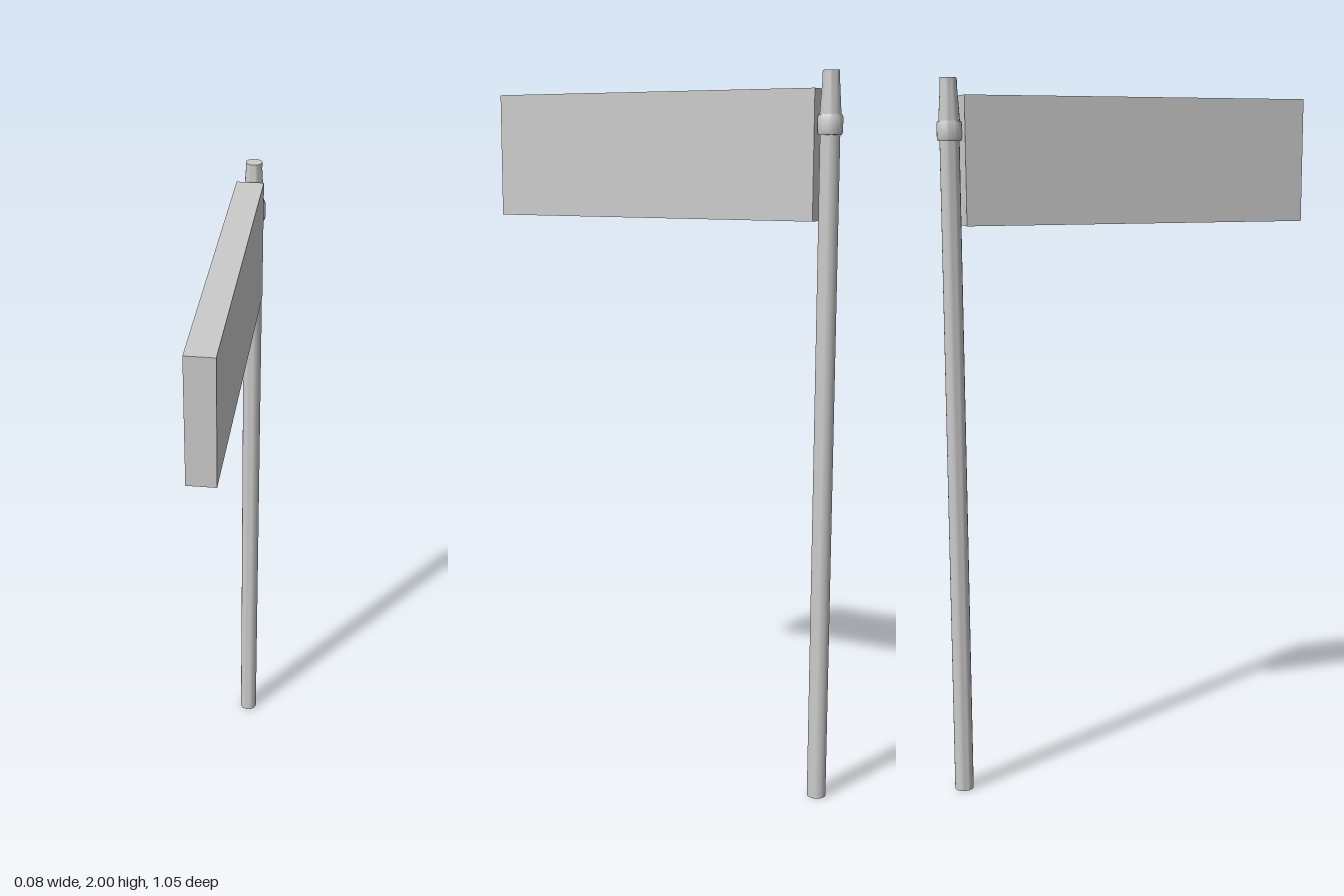
import * as THREE from 'three';
import { toCreasedNormals } from 'three/addons/utils/BufferGeometryUtils.js';

export function createModel() {
  const model = new THREE.Group();
  const material = new THREE.MeshStandardMaterial({ color: 0xcccccc });

  function addPart(name, geometry, x, y, z) {
    const mesh = new THREE.Mesh(geometry, material);
    mesh.name = name;
    mesh.position.set(x, y, z);
    model.add(mesh);
  }

  // Turned part from [radius, height] pairs, with crisp rims
  function turned(points) {
    const profile = points.map(([r, y]) => new THREE.Vector2(r, y));
    return toCreasedNormals(new THREE.LatheGeometry(profile, 24), 0.6);
  }

  const poleX = 0.004, poleZ = -0.492;

  // Straight round post
  addPart('pole', turned([[0, 0], [0.0265, 0], [0.0265, 1.85], [0, 1.85]]), poleX, 0, poleZ);

  // Collar around the post, slightly bevelled at both rims
  addPart('collar', turned([
    [0.0265, 1.836], [0.031, 1.836], [0.0335, 1.843],
    [0.0335, 1.881], [0.031, 1.888], [0.026, 1.888],
  ]), poleX, 0, poleZ);

  // Tapered cap with a short straight tip
  addPart('taperedCap', turned([
    [0, 1.85], [0.0285, 1.85], [0.0285, 1.888], [0.0225, 1.98], [0.0225, 2], [0, 2],
  ]), poleX, 0, poleZ);

  // Sign panel reaching forward from the post
  addPart('signPanel', new THREE.BoxGeometry(0.075, 0.342, 0.985), -0.0025, 1.784, 0.0325);

  return model;
}
